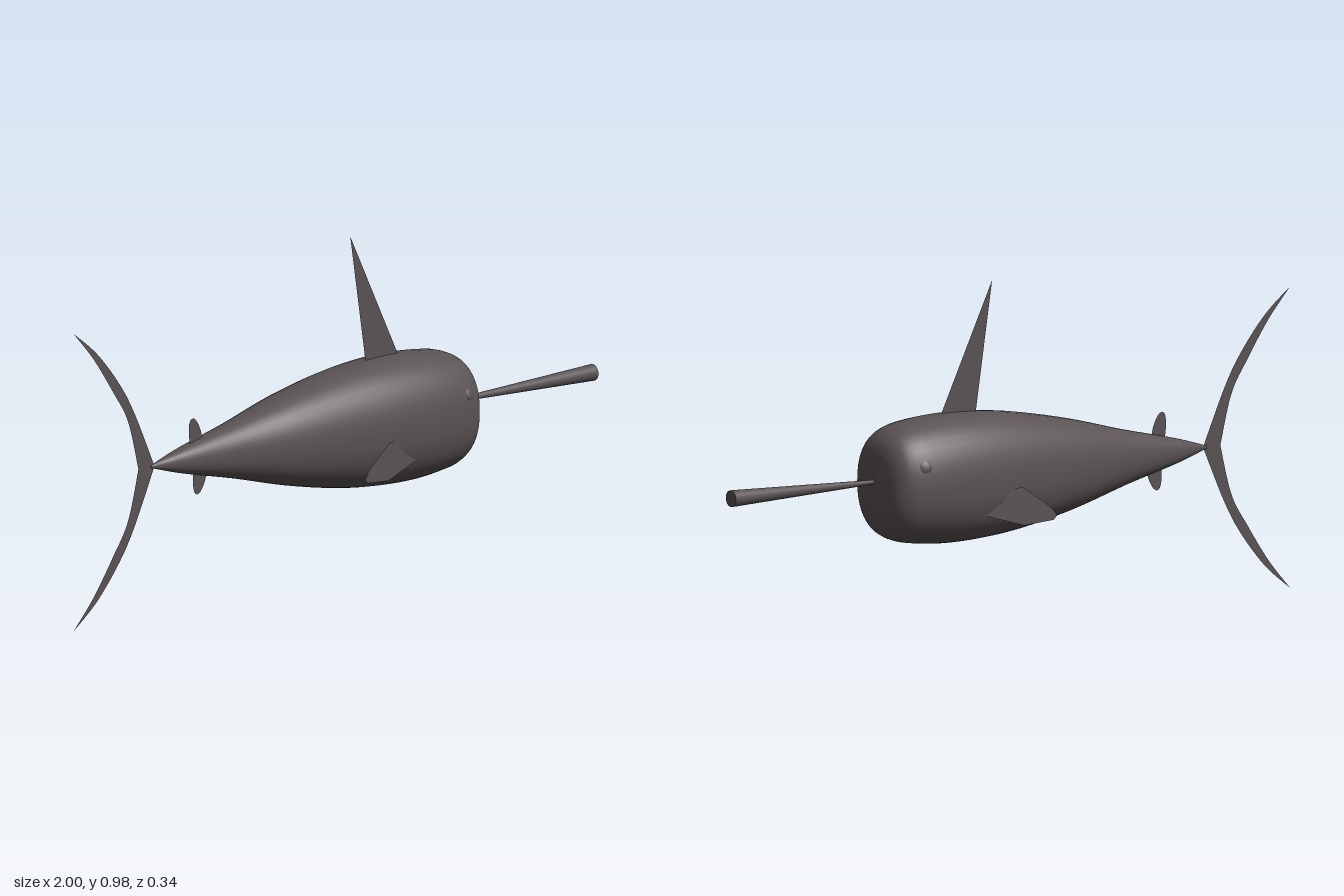
import * as THREE from 'three';

const MID = 0.434; // height of the body axis

// Flat fin outline: straight corners, or a closed smooth curve
function finShape(points, smooth = false) {
  const pts = points.map(([x, y]) => new THREE.Vector2(x, y));
  if (!smooth) return new THREE.Shape(pts);
  const curve = new THREE.CatmullRomCurve3(pts.map(p => new THREE.Vector3(p.x, p.y, 0)), true);
  return new THREE.Shape(curve.getPoints(28).slice(0, -1).map(p => new THREE.Vector2(p.x, p.y)));
}

// Body lofted along x through [x, half height, half width] stations
function bodyGeometry() {
  const stations = [
    [-0.7, 0.004, 0.004], [-0.6, 0.033, 0.03], [-0.4, 0.079, 0.068], [-0.2, 0.13, 0.112],
    [0, 0.168, 0.14], [0.14, 0.182, 0.152], [0.26, 0.184, 0.154], [0.35, 0.177, 0.149],
    [0.41, 0.167, 0.139], [0.45, 0.148, 0.122], [0.472, 0.122, 0.099], [0.482, 0.092, 0.072],
  ];
  const curve = new THREE.CatmullRomCurve3(stations.map(s => new THREE.Vector3(...s)), false, 'centripetal');
  const rings = curve.getPoints(55);
  const sides = 40, pos = [], index = [];
  const round = v => Math.sign(v) * Math.abs(v) ** 0.88;
  for (const { x, y: h, z: w } of rings) {
    for (let j = 0; j < sides; j++) {
      const t = (j / sides) * Math.PI * 2;
      pos.push(x, MID + h * round(Math.sin(t)), w * round(Math.cos(t)));
    }
  }
  const last = rings.length - 1, nose = rings.length * sides, tail = nose + 1;
  pos.push(0.494, MID + 0.008, 0, -0.703, MID, 0);
  for (let j = 0; j < sides; j++) {
    const k = (j + 1) % sides;
    for (let i = 0; i < last; i++) {
      const a = i * sides + j, b = i * sides + k, c = a + sides, d = b + sides;
      index.push(a, c, b, b, c, d);
    }
    index.push(last * sides + j, nose, last * sides + k, tail, j, k);
  }
  const g = new THREE.BufferGeometry();
  g.setAttribute('position', new THREE.Float32BufferAttribute(pos, 3));
  g.setIndex(index);
  g.computeVertexNormals();
  return g;
}

export function createModel() {
  const model = new THREE.Group();
  model.name = 'fish';
  const skin = new THREE.MeshStandardMaterial({ color: 0x5a5255, side: THREE.DoubleSide });
  skin.name = 'dark grey skin';

  const add = (name, geometry) => {
    const mesh = new THREE.Mesh(geometry, skin);
    mesh.name = name;
    model.add(mesh);
    return mesh;
  };

  add('body', bodyGeometry());

  // Bill, thicker toward its blunt tip
  const bill = add('bill', new THREE.CylinderGeometry(0.006, 0.024, 0.52, 24));
  bill.rotation.z = Math.PI / 2;
  bill.position.set(0.74, 0.445, 0);

  // Upright fins in the centre plane
  add('dorsalFin', new THREE.ShapeGeometry(finShape([[0.125, 0.61], [0.252, 0.61], [0.066, 0.985]])));
  add('upperFinlet', new THREE.ShapeGeometry(finShape(
    [[-0.54, 0.45], [-0.555, 0.5], [-0.55, 0.545], [-0.535, 0.548], [-0.51, 0.51], [-0.505, 0.45]], true)));
  add('lowerFinlet', new THREE.ShapeGeometry(finShape(
    [[-0.53, 0.42], [-0.54, 0.365], [-0.532, 0.33], [-0.518, 0.327], [-0.492, 0.365], [-0.49, 0.42]], true)));

  // Crescent tail, mirrored about the body axis
  for (const s of [1, -1]) {
    const y = v => MID + s * v;
    const lobe = new THREE.Shape();
    lobe.moveTo(-0.75, MID);
    lobe.lineTo(-0.688, MID);
    lobe.splineThru([[-0.765, 0.165], [-0.825, 0.262], [-0.91, 0.361], [-1, 0.433]]
      .map(([x, v]) => new THREE.Vector2(x, y(v))));
    lobe.splineThru([[-0.923, 0.347], [-0.848, 0.24], [-0.79, 0.145], [-0.75, 0]]
      .map(([x, v]) => new THREE.Vector2(x, y(v))));
    add(s > 0 ? 'upperTailLobe' : 'lowerTailLobe', new THREE.ShapeGeometry(lobe, 8));
  }

  // Side fins and eyes
  for (const s of [1, -1]) {
    const side = s > 0 ? 'left' : 'right';
    const fin = new THREE.ShapeGeometry(finShape([
      [-0.035, 0.32], [-0.02, 0.342], [0.01, 0.365], [0.075, 0.41], [0.125, 0.408],
      [0.165, 0.357], [0.197, 0.337], [0.07, 0.3], [-0.022, 0.309]]));
    const p = fin.attributes.position;
    for (let i = 0; i < p.count; i++) p.setZ(i, s * (0.156 - 0.15 * (p.getX(i) - 0.07)));
    fin.computeVertexNormals();
    add(side + 'PectoralFin', fin);

    const eye = add(side + 'Eye', new THREE.SphereGeometry(0.022, 20, 14));
    eye.scale.z = 0.5;
    eye.position.set(0.405, 0.495, s * 0.126);
    eye.rotation.set(-s * 0.3, s * 0.35, 0);
  }
  return model;
}
